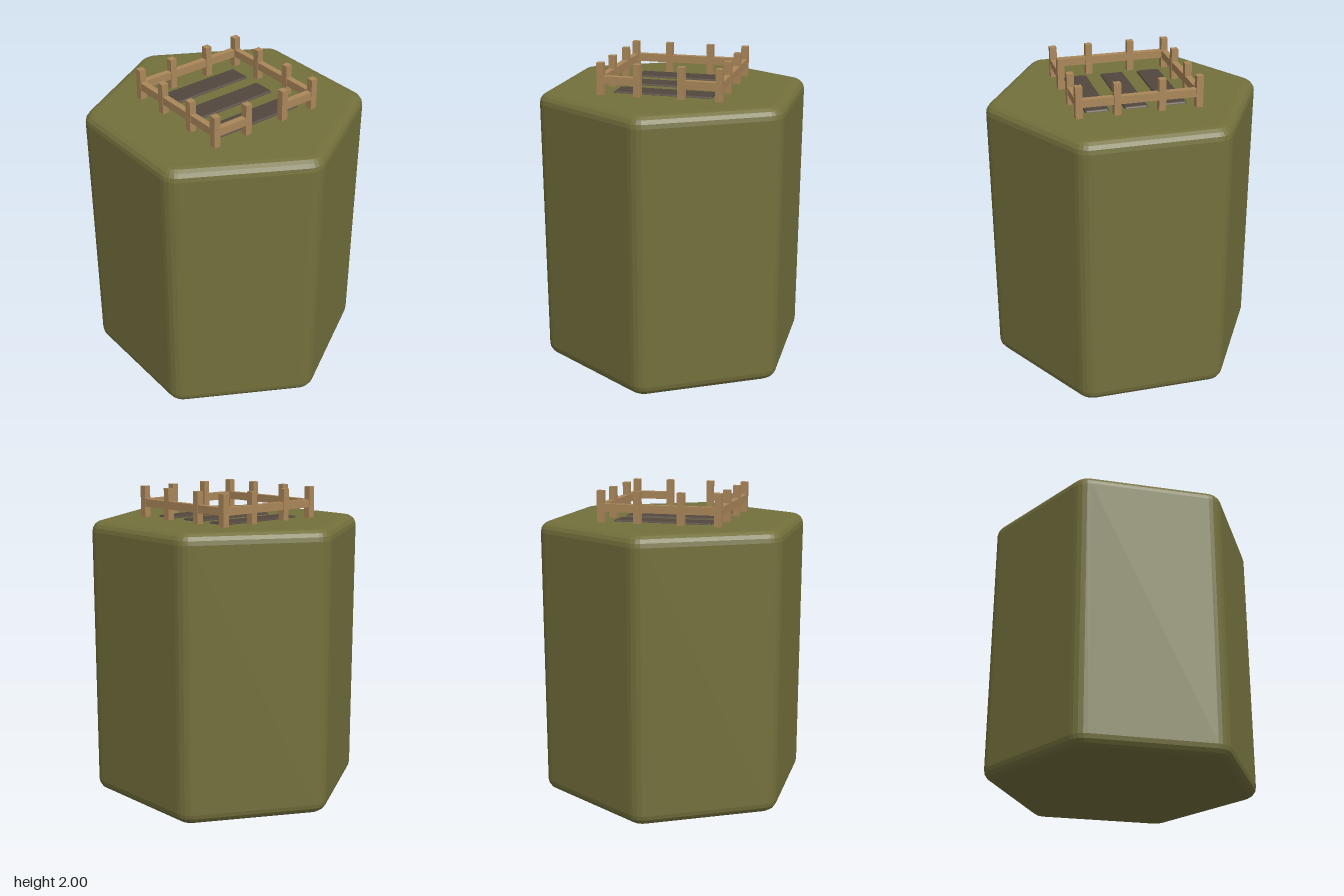
import * as THREE from 'three';
import { RoundedBoxGeometry } from 'three/addons/geometries/RoundedBoxGeometry.js';

const moss = new THREE.MeshStandardMaterial({ name: 'moss green', color: 0x73703c });
const wood = new THREE.MeshStandardMaterial({ name: 'light wood', color: 0xab875a });
const bark = new THREE.MeshStandardMaterial({ name: 'dark soil', color: 0x52473d });

const TOP = 1.8;

function addMesh(parent, name, geometry, material, x = 0, y = 0, z = 0) {
  const mesh = new THREE.Mesh(geometry, material);
  mesh.name = name;
  mesh.position.set(x, y, z);
  parent.add(mesh);
  return mesh;
}

// Hexagon with flats facing +x and -x, and an arc at each corner
function roundedHexagon(apothem, radius, steps) {
  const points = [];
  const centre = (apothem - radius) / Math.cos(Math.PI / 6);
  for (let i = 0; i < 6; i++) {
    const corner = Math.PI / 6 + i * Math.PI / 3;
    for (let j = 0; j <= steps; j++) {
      const a = corner + (j / steps - 0.5) * Math.PI / 3;
      points.push(new THREE.Vector2(
        centre * Math.cos(corner) + radius * Math.cos(a),
        centre * Math.sin(corner) + radius * Math.sin(a)));
    }
  }
  return new THREE.Shape(points);
}

export function createModel() {
  const model = new THREE.Group();
  model.name = 'gardenTile';

  // Hexagonal block with soft edges
  const bevel = 0.07;
  const block = new THREE.ExtrudeGeometry(roundedHexagon(0.776 - bevel, 0.05, 4), {
    depth: TOP - 2 * bevel, bevelEnabled: true, bevelSize: bevel, bevelThickness: bevel, bevelSegments: 4,
  });
  block.rotateX(-Math.PI / 2);
  addMesh(model, 'hexBlock', block, moss, 0, bevel, 0);

  // Three raised beds
  const bed = new RoundedBoxGeometry(0.63, 0.06, 0.153, 2, 0.014);
  for (const z of [-0.246, 0, 0.246]) addMesh(model, 'soilBed', bed, bark, 0, TOP - 0.018, z);

  // Fence: posts round a square, four to a side
  const fence = new THREE.Group();
  fence.name = 'fence';
  model.add(fence);
  const edge = 0.376;
  const inner = 0.14;
  const spots = [-edge, -inner, inner, edge];
  const post = new THREE.BoxGeometry(0.044, 0.2, 0.044);
  for (const x of spots) {
    for (const z of spots) {
      if (Math.abs(x) === edge || Math.abs(z) === edge) addMesh(fence, 'fencePost', post, wood, x, TOP + 0.1, z);
    }
  }

  // Rails on the back and both sides, and two short ones beside the front gate
  const railY = 1.893;
  const railH = 0.05;
  const railT = 0.04;
  addMesh(fence, 'backRail', new THREE.BoxGeometry(2 * edge, railH, railT), wood, 0, railY, -edge);
  for (const side of [-1, 1]) {
    addMesh(fence, 'sideRail', new THREE.BoxGeometry(railT, railH, 2 * edge), wood, side * edge, railY, 0);
    addMesh(fence, 'frontRail', new THREE.BoxGeometry(edge - inner, railH, railT), wood,
      side * (edge + inner) / 2, railY, edge);
  }
  return model;
}
